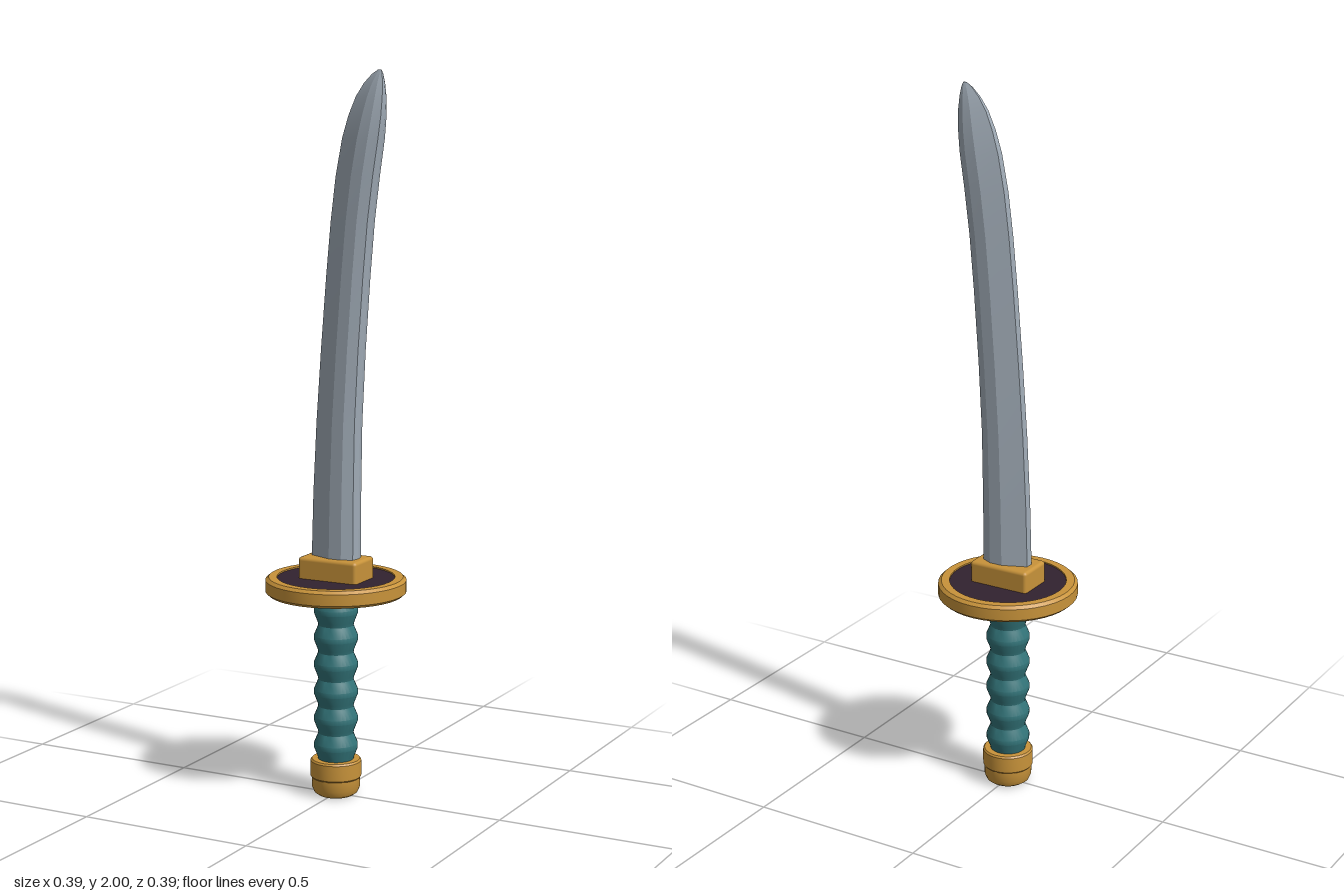
import * as THREE from 'three';
import { toCreasedNormals } from 'three/addons/utils/BufferGeometryUtils.js';
import { RoundedBoxGeometry } from 'three/addons/geometries/RoundedBoxGeometry.js';

const flat = (name, color) => Object.assign(new THREE.MeshStandardMaterial({ color }), { name });

function part(name, geometry, material) {
  const mesh = new THREE.Mesh(geometry, material);
  mesh.name = name;
  return mesh;
}

// Solid of revolution from [radius, height] points, listed upward along the outside
function turned(profile, sides, crease = 0.5) {
  const points = profile.map(([r, y]) => new THREE.Vector2(r, y));
  return toCreasedNormals(new THREE.LatheGeometry(points, sides), crease);
}

// Curved single-edged blade lofted through faceted cross-sections
function bladeGeometry() {
  // height, cutting edge x, spine x, thickness factor
  const levels = [
    [0.64, -0.07, 0.07, 1], [0.85, -0.064, 0.071, 0.99], [1.05, -0.054, 0.074, 0.97],
    [1.25, -0.04, 0.084, 0.95], [1.45, -0.024, 0.098, 0.93], [1.6, -0.01, 0.111, 0.92],
    [1.72, 0.005, 0.126, 0.9], [1.82, 0.024, 0.141, 0.85], [1.88, 0.042, 0.147, 0.71],
    [1.93, 0.063, 0.148, 0.52], [1.965, 0.086, 0.145, 0.33], [1.988, 0.108, 0.141, 0.15],
    [2.0, 0.126, 0.136, 0.03],
  ];
  // fraction of the width, half thickness
  const half = [[0, 0.012], [0.48, 0.039], [0.75, 0.039], [0.96, 0.024]];
  const section = [
    ...half, [1, 0], ...half.map(([f, t]) => [f, -t]).reverse(),
  ];
  const n = section.length;
  const positions = [], index = [];
  for (const [y, edge, spine, thick] of levels) {
    for (const [f, z] of section) positions.push(edge + (spine - edge) * f, y, z * thick);
  }
  for (let i = 0; i < levels.length - 1; i++) {
    for (let j = 0; j < n; j++) {
      const a = i * n + j, b = i * n + (j + 1) % n;
      index.push(a, b, b + n, a, b + n, a + n);
    }
  }
  // Close both ends
  const top = (levels.length - 1) * n;
  for (let j = 1; j < n - 1; j++) {
    index.push(top, top + j, top + j + 1, 0, j + 1, j);
  }
  const geometry = new THREE.BufferGeometry();
  geometry.setAttribute('position', new THREE.Float32BufferAttribute(positions, 3));
  geometry.setIndex(index);
  return toCreasedNormals(geometry, 0.2);
}

export function createModel() {
  const steel = flat('steel', 0xa0abb6);
  const gold = flat('gold', 0xc8933a);
  const teal = flat('teal wrap', 0x33757a);
  const dark = flat('dark inlay', 0x32222f);

  const sword = new THREE.Group();
  sword.name = 'curvedSword';

  sword.add(part('blade', bladeGeometry(), steel));

  // Block that seats the blade on the guard
  const collar = part('bladeCollar', new RoundedBoxGeometry(0.18, 0.08, 0.112, 2, 0.01), gold);
  collar.position.y = 0.637;
  sword.add(collar);

  // Round guard: bevelled rim around a thinner inlaid disc
  sword.add(part('guardRim', turned([
    [0.163, 0.573], [0.186, 0.573], [0.195, 0.581], [0.195, 0.613],
    [0.186, 0.621], [0.163, 0.621], [0.163, 0.573],
  ], 40), gold));
  const inlay = part('guardInlay', new THREE.CylinderGeometry(0.164, 0.164, 0.04, 40), dark);
  inlay.position.y = 0.597;
  sword.add(inlay);

  // Ring between guard and grip
  const ring = part('gripRing', new THREE.CylinderGeometry(0.07, 0.07, 0.022, 32), gold);
  ring.position.y = 0.574;
  sword.add(ring);

  // Ribbed grip: six bulges parted by narrow grooves
  const ribs = 6, bottom = 0.1, pitch = 0.077;
  const grip = [[0, bottom]];
  for (let i = 0; i < ribs; i++) {
    const y = bottom + i * pitch;
    grip.push([0.049, y], [0.051, y + pitch * 0.12], [0.061, y + pitch * 0.45],
      [0.061, y + pitch * 0.62], [0.051, y + pitch * 0.93]);
  }
  grip.push([0.055, bottom + ribs * pitch + 0.008], [0, bottom + ribs * pitch + 0.008]);
  sword.add(part('grip', turned(grip, 32, 0.4), teal));

  // Pommel cap with a slightly wider upper band
  sword.add(part('pommel', turned([
    [0, 0], [0.05, 0], [0.061, 0.008], [0.067, 0.022], [0.068, 0.05],
    [0.071, 0.054], [0.071, 0.098], [0.067, 0.103], [0, 0.103],
  ], 32), gold));

  return sword;
}
